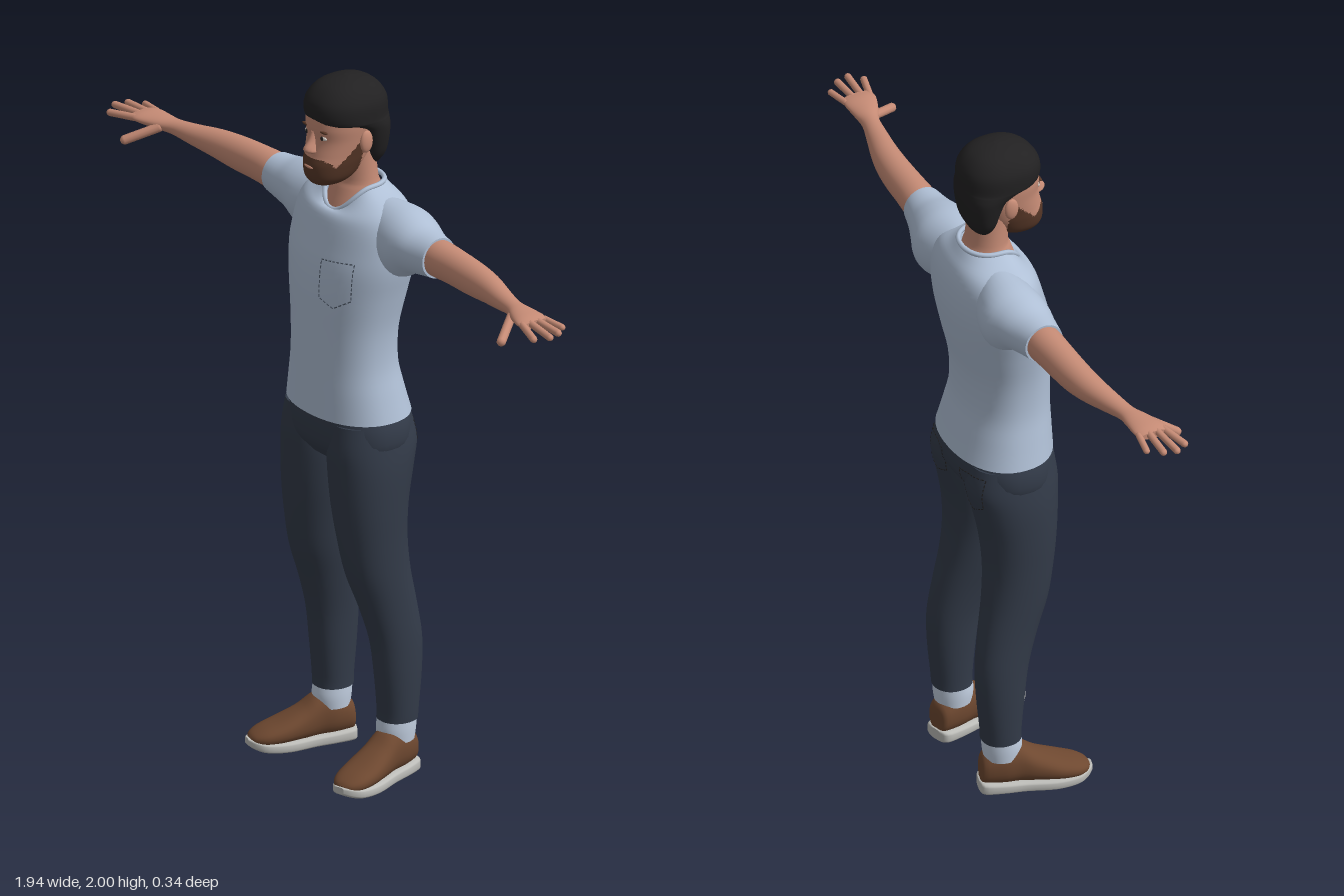
import * as THREE from 'three';

const mat = (name, color) => Object.assign(new THREE.MeshStandardMaterial({ color }), { name });

// Point on a ring [t, centreU, radiusU, vHigh, vLow, drop]; drop lowers the ring towards its v-high side.
function ringPoint([t, cu, ru, hi, lo, drop = 0], a, axis, e) {
  const c = Math.cos(a), s = Math.sin(a);
  const u = cu + ru * Math.sign(c) * Math.abs(c) ** (2 / e);
  const v = (hi + lo) / 2 + (hi - lo) / 2 * Math.sign(s) * Math.abs(s) ** (2 / e);
  const w = t - drop * Math.max(0, s) ** 2;
  return axis === 'x' ? [w, v, u] : axis === 'y' ? [u, w, v] : [u, v, w];
}

// Smooth skin through rings along an axis (y: u=x v=z, x: u=z v=y, z: u=x v=y).
function loft(rings, { axis = 'y', n = 32, e = 2, sub = 4, openEnd = false, side = 1 } = {}) {
  const full = rings.map(r => [...r, 0].slice(0, 6)), rows = [];
  const at = i => full[Math.min(full.length - 1, Math.max(0, i))];
  for (let i = 0; i < full.length - 1; i++) {
    for (let k = 0; k < sub; k++) {
      const t = k / sub, [p, q, r, s] = [at(i - 1), at(i), at(i + 1), at(i + 2)];
      rows.push(q.map((b, m) => b + 0.5 * t * (r[m] - p[m] + t * (2 * p[m] - 5 * b + 4 * r[m] - s[m]
        + t * (3 * (b - r[m]) + s[m] - p[m])))));
    }
  }
  rows.push(at(full.length - 1));
  const pos = [], idx = [];
  const addRing = r => {
    for (let j = 0; j < n; j++) {
      const p = ringPoint(r, j / n * Math.PI * 2, axis, e);
      pos.push(p[0] * side, p[1], p[2]);
    }
  };
  rows.forEach(addRing);
  for (let i = 0; i < rows.length - 1; i++) for (let j = 0; j < n; j++) {
    const a = i * n + j, b = i * n + (j + 1) % n;
    idx.push(a, b, a + n, b, b + n, a + n);
  }
  const cap = (r, last) => {
    const base = pos.length / 3;
    addRing(r);
    const p = ringPoint([r[0], r[1], 0, (r[3] + r[4]) / 2, (r[3] + r[4]) / 2], 0, axis, e);
    pos.push(p[0] * side, p[1], p[2]);
    for (let j = 0; j < n; j++) {
      const a = base + j, b = base + (j + 1) % n;
      idx.push(base + n, last ? a : b, last ? b : a);
    }
  };
  cap(rows[0], false);
  if (!openEnd) cap(rows[rows.length - 1], true);
  // Turn faces outward using the signed volume
  const P = i => new THREE.Vector3().fromArray(pos, i * 3);
  let volume = 0;
  for (let i = 0; i < idx.length; i += 3) volume += P(idx[i]).dot(P(idx[i + 1]).cross(P(idx[i + 2])));
  if (volume < 0) idx.reverse();
  const g = new THREE.BufferGeometry();
  g.setAttribute('position', new THREE.Float32BufferAttribute(pos, 3));
  g.setIndex(idx);
  g.computeVertexNormals();
  return g;
}

// Sort faces into two material groups by a rule on the face centre.
function splitFaces(g, rule) {
  const idx = g.index.array, p = g.attributes.position, sets = [[], []];
  for (let i = 0; i < idx.length; i += 3) {
    const f = [idx[i], idx[i + 1], idx[i + 2]];
    const mid = k => (p.getComponent(f[0], k) + p.getComponent(f[1], k) + p.getComponent(f[2], k)) / 3;
    sets[rule(mid(0), mid(1), mid(2)) ? 1 : 0].push(...f);
  }
  g.setIndex([...sets[0], ...sets[1]]);
  g.addGroup(0, sets[0].length, 0);
  g.addGroup(sets[0].length, sets[1].length, 1);
  return g;
}

export function createModel() {
  const skin = mat('skin', 0xc78c76), hair = mat('hair', 0x222122), beard = mat('beard', 0x583828);
  const shirt = mat('shirt', 0xb0c0d6), jeans = mat('jeans', 0x333b49), cuff = mat('cuff', 0xc3d0e2);
  const leather = mat('leather', 0x6e4830), rubber = mat('rubber', 0xbcbcb8);
  const stitch = mat('stitch', 0x4c5664), white = mat('eyeWhite', 0xd8d0c8);
  const root = new THREE.Group();
  const add = (name, geo, material, parent = root) => {
    const m = new THREE.Mesh(geo, material);
    m.name = name;
    parent.add(m);
    return m;
  };
  const ball = (name, material, [x, y, z], [sx, sy, sz]) =>
    add(name, new THREE.SphereGeometry(1, 16, 12).scale(sx, sy, sz).translate(x, y, z), material);

  // Shirt body with scooped neckline
  const neckRing = [1.693, 0, 0.078, 0.038, -0.115, 0.07];
  const body = add('shirtBody', loft([
    [1.05, 0, 0.195, 0.12, -0.158], [1.12, 0, 0.18, 0.118, -0.14], [1.2, 0, 0.166, 0.116, -0.124],
    [1.3, 0, 0.168, 0.116, -0.127], [1.4, 0, 0.185, 0.115, -0.148], [1.48, 0, 0.202, 0.106, -0.162],
    [1.54, 0, 0.206, 0.09, -0.167], [1.6, 0, 0.198, 0.072, -0.163], [1.642, 0, 0.17, 0.06, -0.15, 0.02],
    [1.672, 0, 0.11, 0.048, -0.13, 0.045], neckRing], { n: 48, e: 2.2, openEnd: true }), shirt);
  const rim = Array.from({ length: 32 }, (_, i) =>
    new THREE.Vector3(...ringPoint(neckRing, i / 32 * Math.PI * 2, 'y', 2.2)));
  add('collar', new THREE.TubeGeometry(new THREE.CatmullRomCurve3(rim, true), 64, 0.007, 8, true), shirt);

  // Neck and head, with the beard painted by face
  add('neck', loft([[1.58, 0, 0.085, 0.05, -0.12], [1.63, 0, 0.082, 0.037, -0.115], [1.68, 0, 0.072, 0.02, -0.107],
    [1.71, 0, 0.066, 0.012, -0.098], [1.8, 0, 0.064, 0.02, -0.09]]), skin);
  const beardTop = z => z < 0.07 ? 1.84 - Math.max(0, z) : Math.min(1.792, 1.77 + (z - 0.07) * 0.8);
  add('head', splitFaces(loft([
    [1.708, 0, 0.022, 0.088, 0.03], [1.715, 0, 0.042, 0.102, 0], [1.735, 0, 0.059, 0.115, -0.03],
    [1.77, 0, 0.07, 0.117, -0.06], [1.8, 0, 0.076, 0.109, -0.08], [1.84, 0, 0.083, 0.101, -0.1],
    [1.88, 0, 0.088, 0.104, -0.11], [1.92, 0, 0.088, 0.097, -0.112], [1.96, 0, 0.07, 0.07, -0.09],
    [1.985, 0, 0.03, 0.02, -0.05]], { n: 72, e: 2.2, sub: 8 }),
  (x, y, z) => z > -0.01 && y < beardTop(z)), [skin, beard]);
  add('hairCap', loft([
    [1.75, 0, 0.055, -0.04, -0.095], [1.78, 0, 0.076, -0.03, -0.11], [1.82, 0, 0.087, -0.018, -0.118],
    [1.86, 0, 0.094, 0.005, -0.122], [1.883, 0, 0.097, 0.06, -0.123], [1.895, 0, 0.098, 0.1, -0.123],
    [1.94, 0, 0.096, 0.101, -0.118], [1.975, 0, 0.074, 0.073, -0.094], [1.993, 0, 0.042, 0.035, -0.06],
    [2, 0, 0.008, -0.005, -0.02]], { n: 48, e: 2.3 }), hair);
  add('nose', loft([[1.803, 0, 0.012, 0.112, 0.08], [1.81, 0, 0.019, 0.126, 0.08], [1.82, 0, 0.016, 0.13, 0.08],
    [1.84, 0, 0.011, 0.116, 0.08], [1.865, 0, 0.009, 0.105, 0.08]], { n: 16 }), skin);
  ball('lips', skin, [0, 1.766, 0.114], [0.02, 0.005, 0.006]);

  // Row of short stitches laid on the front (dir 1) or back (dir -1) of a surface
  const ray = new THREE.Raycaster();
  const stitches = (name, corners, targets, dir, material) => {
    const group = new THREE.Group();
    group.name = name;
    root.add(group);
    const on = (x, y) => {
      ray.set(new THREE.Vector3(x, y, dir), new THREE.Vector3(0, 0, -dir));
      const hit = ray.intersectObjects(targets)[0];
      return hit ? hit.point : null;
    };
    corners.forEach(([x0, y0], i) => {
      const [x1, y1] = corners[(i + 1) % corners.length];
      const count = Math.round(Math.hypot(x1 - x0, y1 - y0) / 0.013);
      for (let k = 0; k < count; k++) {
        const f = k / count, h = (k + 0.65) / count;
        const a = on(x0 + (x1 - x0) * f, y0 + (y1 - y0) * f), b = on(x0 + (x1 - x0) * h, y0 + (y1 - y0) * h);
        if (a && b) add('stitch', new THREE.TubeGeometry(new THREE.LineCurve3(a, b), 1, 0.0018, 5), material, group);
      }
    });
  };

  const hips = add('hips', loft([[0.92, 0, 0.15, 0.075, -0.09], [0.965, 0, 0.194, 0.108, -0.142],
    [1.02, 0, 0.197, 0.114, -0.152], [1.07, 0, 0.18, 0.11, -0.14]], { n: 48, e: 2.3 }), jeans);
  const legs = [];

  for (const s of [1, -1]) {
    const side = s > 0 ? 'left' : 'right';
    // Face details
    ball(side + 'Ear', skin, [s * 0.087, 1.835, -0.012], [0.01, 0.032, 0.02]);
    ball(side + 'Eye', white, [s * 0.033, 1.853, 0.091], [0.014, 0.007, 0.006]);
    ball(side + 'Pupil', hair, [s * 0.033, 1.853, 0.096], [0.006, 0.006, 0.003]);
    ball(side + 'Eyebrow', beard, [s * 0.035, 1.872, 0.094], [0.02, 0.004, 0.006]);

    // Sleeve, arm and palm
    const along = { axis: 'x', side: s };
    add(side + 'Sleeve', loft([[0.07, -0.06, 0.05, 1.665, 1.52], [0.14, -0.065, 0.08, 1.668, 1.48],
      [0.2, -0.066, 0.092, 1.666, 1.47], [0.25, -0.06, 0.082, 1.656, 1.5], [0.3, -0.055, 0.068, 1.642, 1.513],
      [0.355, -0.052, 0.056, 1.636, 1.522]], along), shirt);
    add(side + 'Arm', loft([[0.3, -0.053, 0.045, 1.625, 1.53], [0.36, -0.052, 0.05, 1.631, 1.528],
      [0.43, -0.05, 0.047, 1.63, 1.531], [0.52, -0.046, 0.044, 1.626, 1.532], [0.6, -0.037, 0.039, 1.62, 1.541],
      [0.68, -0.02, 0.031, 1.611, 1.553], [0.745, -0.006, 0.026, 1.606, 1.564], [0.79, 0.004, 0.036, 1.606, 1.568],
      [0.84, 0.012, 0.046, 1.604, 1.573], [0.87, 0.014, 0.042, 1.598, 1.577]], along), skin);
    // Fingers and thumb: base, tip, radius
    [[0.85, 1.588, -0.024, 0.925, 1.582, -0.036, 0.009], [0.86, 1.59, 0.002, 0.955, 1.585, 0, 0.01],
      [0.86, 1.59, 0.026, 0.965, 1.585, 0.036, 0.01], [0.85, 1.588, 0.046, 0.94, 1.58, 0.072, 0.01],
      [0.775, 1.583, 0.022, 0.835, 1.543, 0.105, 0.013]].forEach(([x, y, z, tx, ty, tz, r], i) => {
      const a = new THREE.Vector3(s * x, y, z), b = new THREE.Vector3(s * tx, ty, tz), d = b.clone().sub(a);
      const finger = add(side + (i < 4 ? 'Finger' : 'Thumb'),
        new THREE.CapsuleGeometry(r, d.length() - r, 4, 10), skin);
      finger.position.copy(a).lerp(b, 0.5);
      finger.quaternion.setFromUnitVectors(new THREE.Vector3(0, 1, 0), d.normalize());
    });

    // Trouser leg and turned-up cuff
    legs.push(add(side + 'Leg', loft([[0.165, 0.142, 0.054, -0.018, -0.128], [0.2, 0.143, 0.055, -0.018, -0.13],
      [0.3, 0.143, 0.058, -0.008, -0.14], [0.4, 0.14, 0.061, 0.006, -0.143], [0.5, 0.132, 0.067, 0.035, -0.13],
      [0.6, 0.123, 0.077, 0.07, -0.113], [0.7, 0.116, 0.086, 0.088, -0.105], [0.8, 0.109, 0.096, 0.1, -0.112],
      [0.9, 0.103, 0.102, 0.106, -0.133], [0.97, 0.1, 0.098, 0.108, -0.148], [1.04, 0.095, 0.09, 0.1, -0.135]],
    { side: s, e: 2.15 }), jeans));
    add(side + 'Cuff', loft([[0.105, 0.142, 0.048, -0.018, -0.12], [0.14, 0.142, 0.051, -0.014, -0.125],
      [0.175, 0.142, 0.051, -0.02, -0.126]], { side: s }), cuff);

    // Shoe, toes turned out
    const shoe = new THREE.Group();
    shoe.name = side + 'Shoe';
    shoe.position.set(s * 0.142, 0, -0.07);
    shoe.rotation.y = s * 0.26;
    root.add(shoe);
    add('upper', loft([[-0.06, 0, 0.018, 0.085, 0.03], [-0.05, 0, 0.037, 0.115, 0.025], [0, 0, 0.047, 0.142, 0.02],
      [0.045, 0, 0.046, 0.142, 0.02], [0.09, 0, 0.051, 0.112, 0.02], [0.15, 0, 0.056, 0.085, 0.02],
      [0.2, 0, 0.049, 0.068, 0.02], [0.228, 0, 0.032, 0.055, 0.025], [0.238, 0, 0.014, 0.045, 0.03]],
    { axis: 'z', e: 2.3 }), leather, shoe);
    add('sole', loft([[-0.064, 0, 0.02, 0.036, 0.004], [-0.052, 0, 0.042, 0.038, 0], [0, 0, 0.049, 0.036, 0],
      [0.06, 0, 0.05, 0.034, 0], [0.14, 0, 0.059, 0.034, 0], [0.2, 0, 0.052, 0.036, 0.005],
      [0.23, 0, 0.034, 0.041, 0.014], [0.245, 0, 0.014, 0.043, 0.024]], { axis: 'z', e: 4 }), rubber, shoe);
  }

  // Chest and back pockets
  root.updateMatrixWorld(true);
  stitches('chestPocket', [[0.037, 1.505], [0.14, 1.515], [0.138, 1.41], [0.09, 1.38], [0.042, 1.4]], [body], 1, stitch);
  for (const s of [1, -1]) {
    stitches('backPocket', [[s * 0.05, 1.01], [s * 0.15, 1.02], [s * 0.15, 0.93], [s * 0.105, 0.905], [s * 0.06, 0.925]],
      [hips, ...legs], -1, hair);
  }
  return root;
}
